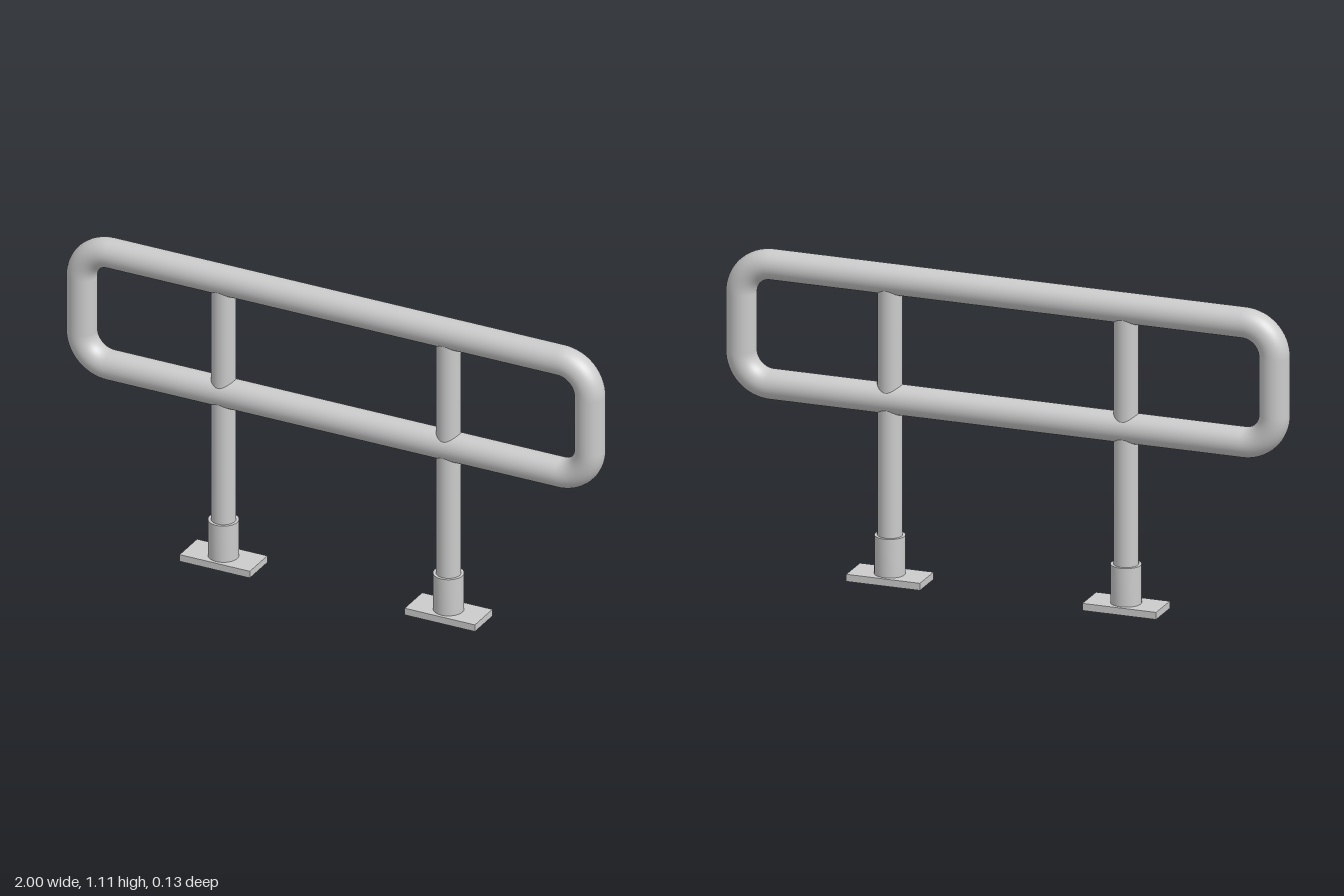
import * as THREE from 'three';
import { toCreasedNormals } from 'three/addons/utils/BufferGeometryUtils.js';

const material = new THREE.MeshStandardMaterial({ color: 0xcccccc });
const thinMaterial = new THREE.MeshStandardMaterial({ color: 0xcccccc, side: THREE.DoubleSide });

const RAIL = 0.052, BEND = 0.108;           // rail radius, corner centreline radius
const HALF = 0.948, LOW = 0.636, HIGH = 1.054; // loop centreline extents
const POST = 0.042, POST_X = 0.42;

function add(parent, name, geometry, x = 0, y = 0, z = 0, mat = material) {
  const mesh = new THREE.Mesh(geometry, mat);
  mesh.name = name;
  mesh.position.set(x, y, z);
  parent.add(mesh);
  return mesh;
}

// Closed tubular loop: four straight runs joined by quarter bends
function createRailLoop() {
  const loop = new THREE.Group();
  loop.name = 'railLoop';
  const midY = (LOW + HIGH) / 2;
  const straightX = 2 * (HALF - BEND), straightY = HIGH - LOW - 2 * BEND;
  const horizontal = new THREE.CylinderGeometry(RAIL, RAIL, straightX, 32, 1, true).rotateZ(Math.PI / 2);
  const vertical = new THREE.CylinderGeometry(RAIL, RAIL, straightY, 32, 1, true);
  const bend = new THREE.TorusGeometry(BEND, RAIL, 32, 16, Math.PI / 2);

  add(loop, 'topRail', horizontal, 0, HIGH);
  add(loop, 'lowerRail', horizontal, 0, LOW);
  add(loop, 'leftEnd', vertical, HALF, midY);
  add(loop, 'rightEnd', vertical, -HALF, midY);

  const cx = HALF - BEND, top = HIGH - BEND, bottom = LOW + BEND;
  [[cx, top], [-cx, top], [-cx, bottom], [cx, bottom]].forEach(([x, y], i) => {
    add(loop, 'cornerBend', bend, x, y).rotation.z = i * Math.PI / 2;
  });
  return loop;
}

// Thin plate shell, open underneath
function createPlateGeometry() {
  const box = new THREE.BoxGeometry(0.262, 0.025, 0.126);
  const index = Array.from(box.index.array);
  index.splice(18, 6); // drop the bottom face
  box.setIndex(index);
  box.clearGroups();
  return box;
}

// Post with its socket and foot plate
function createSupport(name, x) {
  const support = new THREE.Group();
  support.name = name;
  support.position.x = x;

  const bottom = 0.02, top = 1.04;
  add(support, 'post', new THREE.CylinderGeometry(POST, POST, top - bottom, 32), 0, (top + bottom) / 2);

  const profile = [[0.045, 0.025], [0.045, 0.012], [0.052, 0.012], [0.052, 0.16], [0.041, 0.16]]
    .map(([r, y]) => new THREE.Vector2(r, y));
  const socket = toCreasedNormals(new THREE.LatheGeometry(profile, 32), Math.PI / 5);
  add(support, 'socket', socket, 0, 0, 0, thinMaterial);

  add(support, 'footPlate', createPlateGeometry(), 0, 0.0125, 0, thinMaterial);
  return support;
}

export function createModel() {
  const model = new THREE.Group();
  model.name = 'guardRail';
  model.add(createRailLoop());
  model.add(createSupport('leftSupport', POST_X), createSupport('rightSupport', -POST_X));
  return model;
}
